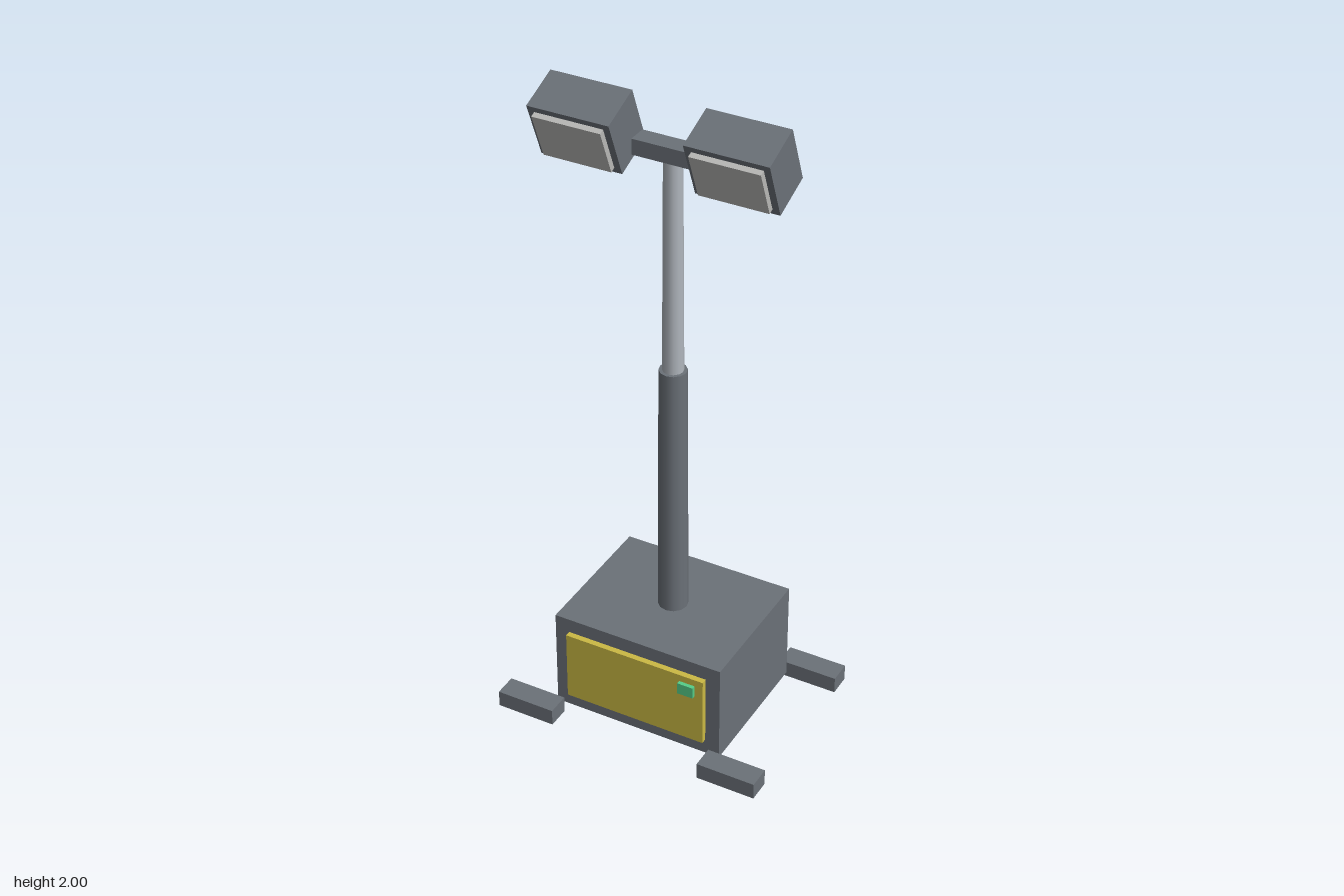
import * as THREE from 'three';

const paint = (name, color) => {
  const m = new THREE.MeshStandardMaterial({ color });
  m.name = name;
  return m;
};

export function createModel() {
  const grey = paint('dark grey metal', 0x6b7178);
  const silver = paint('silver metal', 0xb0b6bd);
  const yellow = paint('yellow panel', 0xcbb944);
  const green = paint('green button', 0x55cc88);
  const glass = paint('pale lens', 0xb8b8b6);

  const model = new THREE.Group();
  model.name = 'lightTower';

  const add = (parent, name, geometry, material, x, y, z) => {
    const mesh = new THREE.Mesh(geometry, material);
    mesh.name = name;
    mesh.position.set(x, y, z);
    parent.add(mesh);
    return mesh;
  };
  const box = (parent, name, material, [w, h, d], [x, y, z]) =>
    add(parent, name, new THREE.BoxGeometry(w, h, d), material, x, y, z);

  // Generator cabinet with its front panel and button
  box(model, 'cabinet', grey, [0.544, 0.32, 0.44], [0, 0.185, 0]);
  box(model, 'frontPanel', yellow, [0.453, 0.225, 0.018], [0, 0.187, 0.229]);
  box(model, 'startButton', green, [0.05, 0.037, 0.013], [0.175, 0.259, 0.2435]);

  // Four outrigger feet
  for (const sx of [-1, 1]) {
    for (const sz of [-1, 1]) {
      box(model, 'outriggerFoot', grey, [0.185, 0.052, 0.071], [sx * 0.3355, 0.026, sz * 0.268]);
    }
  }

  // Telescoping mast, each stage slightly tapered
  add(model, 'lowerMast', new THREE.CylinderGeometry(0.041, 0.045, 0.82, 12), grey, 0, 0.75, 0);
  add(model, 'upperMast', new THREE.CylinderGeometry(0.027, 0.031, 0.67, 12), silver, 0, 1.485, 0);

  // Crossbar carrying the lamps
  box(model, 'crossbar', grey, [0.68, 0.047, 0.06], [0, 1.838, 0]);

  // Two floodlights tipped down towards the front
  for (const side of [-1, 1]) {
    const lamp = new THREE.Group();
    lamp.name = side > 0 ? 'leftFloodlight' : 'rightFloodlight';
    lamp.position.set(side * 0.232, 1.89, 0.051);
    lamp.rotation.x = 0.38;
    box(lamp, 'lampHousing', grey, [0.247, 0.183, 0.135], [0, 0, 0]);
    box(lamp, 'lampLens', glass, [0.207, 0.147, 0.017], [0, 0, 0.076]);
    model.add(lamp);
  }

  return model;
}
